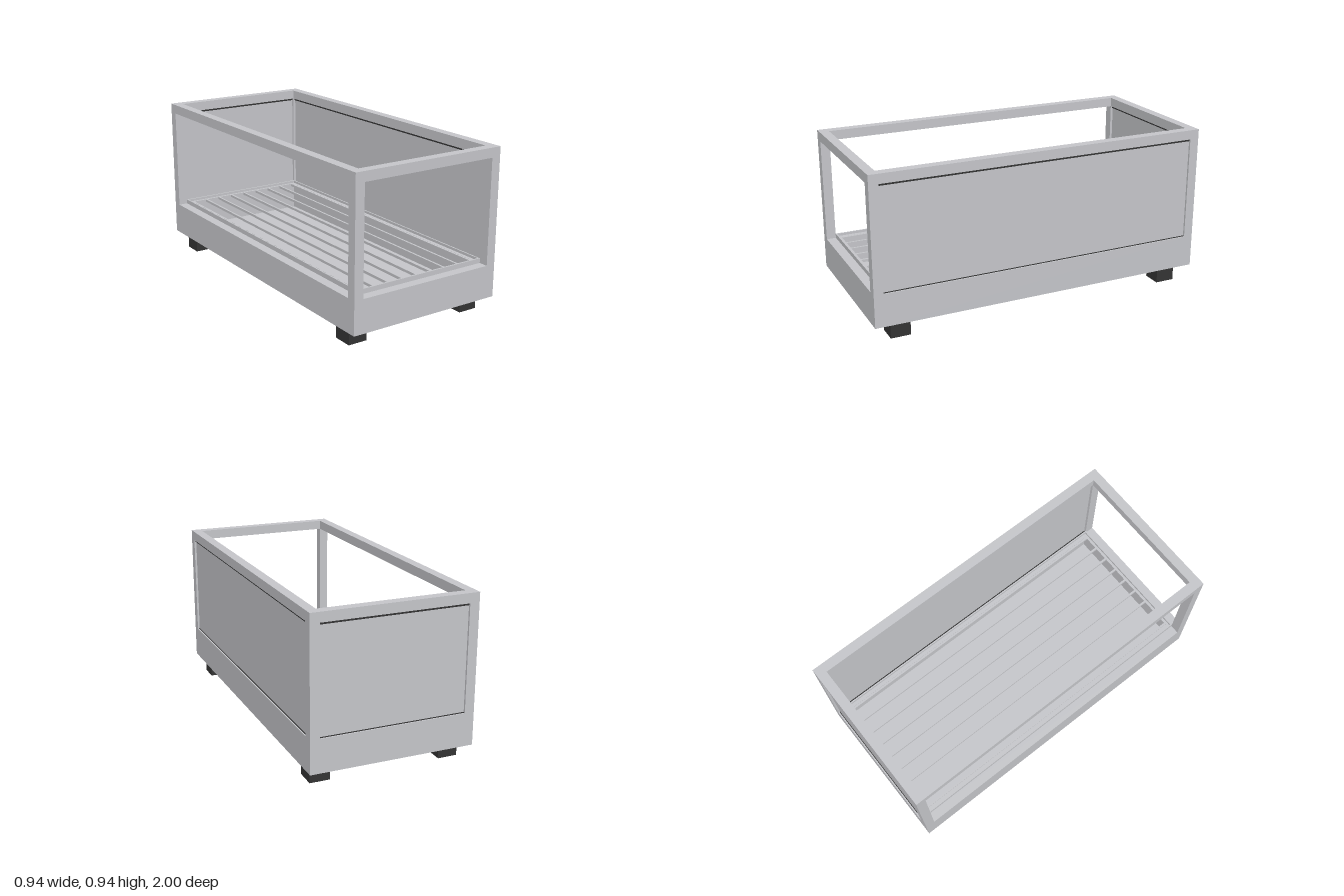
import * as THREE from 'three';

const W = 0.47, L = 1.0;          // outer half width and half length
const T = 0.055;                  // frame bar thickness
const Y0 = 0.095, Y1 = 0.285, Y2 = 0.89, Y3 = 0.945; // base, opening and top levels

export function createModel() {
  const model = new THREE.Group();
  const grey = new THREE.MeshStandardMaterial({ color: 0xc5c6ca });
  grey.name = 'light grey';
  const dark = new THREE.MeshStandardMaterial({ color: 0x343434 });
  dark.name = 'dark rubber';

  // Box given by its low and high limits on each axis
  const box = (name, mat, x0, x1, y0, y1, z0, z1) => {
    const mesh = new THREE.Mesh(new THREE.BoxGeometry(x1 - x0, y1 - y0, z1 - z0), mat);
    mesh.position.set((x0 + x1) / 2, (y0 + y1) / 2, (z0 + z1) / 2);
    mesh.name = name;
    model.add(mesh);
  };
  // Same, with x and z mirrored to the chosen side
  const sided = (name, mat, sx, sz, x0, x1, y0, y1, z0, z1) => {
    const [a, b] = sx > 0 ? [x0, x1] : [-x1, -x0];
    const [c, d] = sz > 0 ? [z0, z1] : [-z1, -z0];
    box(name, mat, a, b, y0, y1, c, d);
  };

  const xi = W - T, zi = L - T;   // inner faces of the frame

  // Tray floor
  box('trayFloor', grey, -xi, xi, Y0, 0.12, -zi, zi);

  for (const s of [-1, 1]) {
    // Tray walls and top rails
    sided('sideTrayWall', grey, s, 1, xi, W, Y0, Y1, -L, L);
    sided('endTrayWall', grey, 1, s, -xi, xi, Y0, Y1, zi, L);
    sided('sideTopRail', grey, s, 1, xi, W, Y2, Y3, -L, L);
    sided('endTopRail', grey, 1, s, -xi, xi, Y2, Y3, zi, L);

    // Stepped ledge that carries the rack
    sided('sideLedge', grey, s, 1, xi - 0.008, xi, 0.27, 0.312, -zi, zi);
    sided('sideLedgeStep', grey, s, 1, xi - 0.03, xi - 0.008, 0.285, 0.297, -zi + 0.01, zi - 0.01);
    sided('endLedge', grey, 1, s, -xi + 0.008, xi - 0.008, 0.27, 0.312, zi - 0.01, zi);
    sided('endLedgeStep', grey, 1, s, -xi + 0.03, xi - 0.03, 0.285, 0.297, zi - 0.026, zi - 0.01);

    // Corner posts and feet
    for (const t of [-1, 1]) {
      sided('cornerPost', grey, s, t, xi, W, Y1, Y2, zi, L);
      sided('foot', dark, s, t, 0.32, 0.433, 0, Y0, 0.79, 0.905);
    }
  }

  // Thin rack bars running front to back
  for (let i = -4; i <= 4; i++) {
    const x = i * 0.0945;
    box('rackBar', grey, x - 0.006, x + 0.006, 0.282, 0.297, -zi + 0.026, zi - 0.026);
  }

  // Infill panels on the left side and the back, with dark seals above and below
  const seal = 0.012, low = 0.004;
  box('sidePanel', grey, xi + 0.015, W - 0.012, Y1 + low, Y2 - seal, -zi, zi);
  box('sideTopSeal', dark, xi + 0.01, W - 0.008, Y2 - seal, Y2, -zi, zi);
  box('sideBottomSeal', dark, xi + 0.01, W - 0.008, Y1, Y1 + low, -zi, zi);
  box('backPanel', grey, -xi, xi, Y1 + low, Y2 - seal, -L + 0.012, -zi - 0.015);
  box('backTopSeal', dark, -xi, xi, Y2 - seal, Y2, -L + 0.008, -zi - 0.01);
  box('backBottomSeal', dark, -xi, xi, Y1, Y1 + low, -L + 0.008, -zi - 0.01);

  return model;
}
